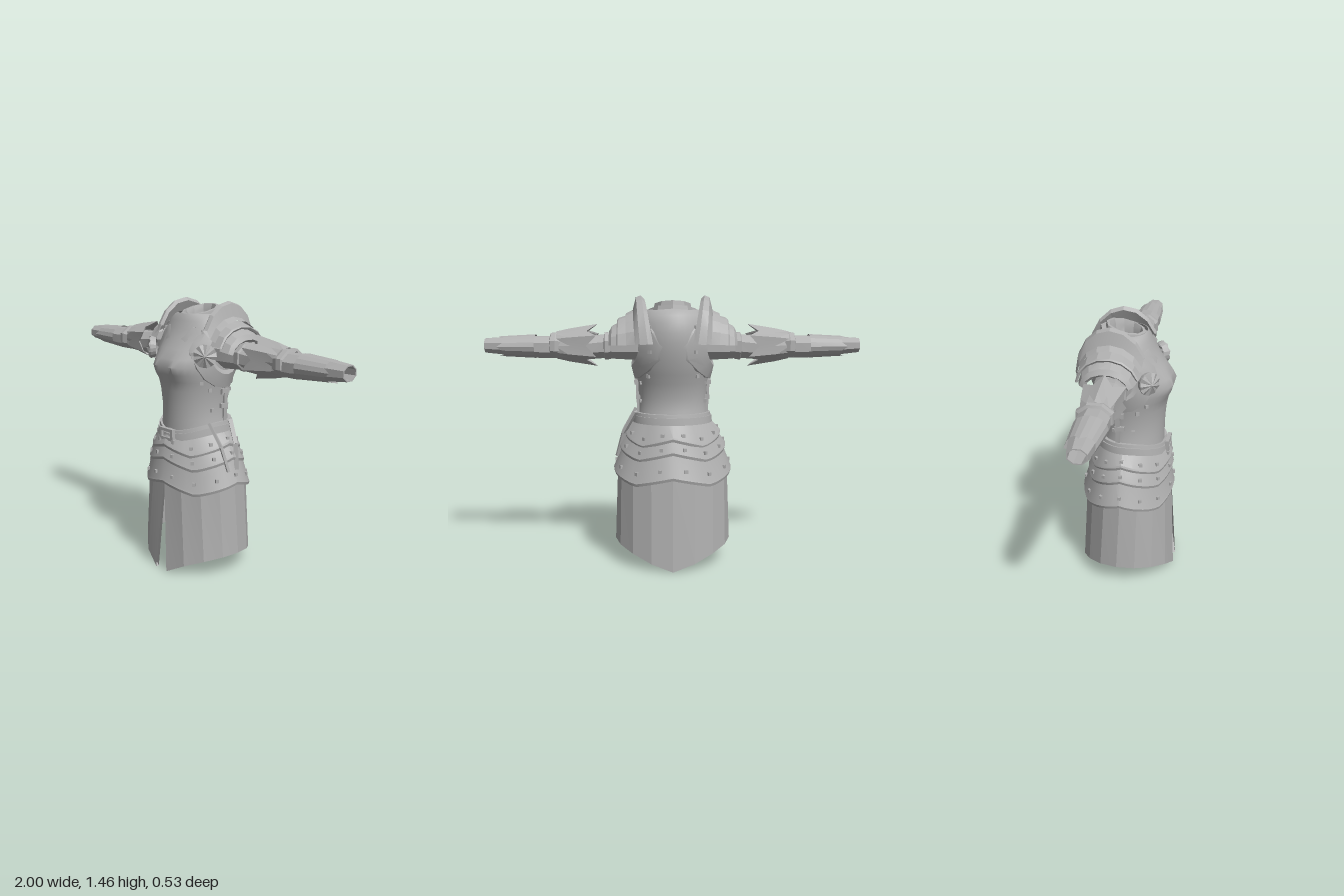
import * as THREE from 'three';
import { toCreasedNormals } from 'three/addons/utils/BufferGeometryUtils.js';

const steel = new THREE.MeshStandardMaterial({ color: 0xb0b0b0, side: THREE.DoubleSide });
steel.name = 'steel';
const TAU = Math.PI * 2;

// Skin a list of cross-sections; crease is the angle above which edges stay sharp
function loft(rows, closed = true, crease = 0.6) {
  const n = rows[0].length, pos = rows.flat(2), idx = [];
  for (let r = 0; r < rows.length - 1; r++) {
    for (let i = 0; i < (closed ? n : n - 1); i++) {
      const a = r * n + i, b = r * n + (i + 1) % n;
      idx.push(a, b, b + n, a, b + n, a + n);
    }
  }
  const g = new THREE.BufferGeometry();
  g.setAttribute('position', new THREE.Float32BufferAttribute(pos, 3));
  g.setIndex(idx);
  return toCreasedNormals(g, crease);
}
function add(group, name, geo) {
  const m = new THREE.Mesh(geo, steel);
  m.name = name;
  group.add(m);
  return m;
}
// Point on a body oval: half width a, front depth f, back depth b; t = 0 is the front
const oval = (t, y, a, f, b) => [a * Math.sin(t), y, Math.cos(t) * (Math.cos(t) > 0 ? f : b)];
const around = (n, fn) => Array.from({ length: n }, (_, i) => fn(i / n * TAU, i));

// Torso profile: y, half width, front depth, back depth
const TORSO = [
  [0.70, 0.215, 0.19, 0.17], [0.78, 0.198, 0.188, 0.16], [0.85, 0.187, 0.188, 0.142], [0.92, 0.184, 0.19, 0.14],
  [1.0, 0.193, 0.198, 0.16], [1.05, 0.203, 0.208, 0.178], [1.09, 0.21, 0.222, 0.19], [1.13, 0.213, 0.228, 0.2],
  [1.17, 0.213, 0.218, 0.208], [1.22, 0.211, 0.19, 0.214], [1.27, 0.206, 0.155, 0.214], [1.32, 0.193, 0.128, 0.206],
  [1.36, 0.17, 0.11, 0.19], [1.385, 0.14, 0.098, 0.155], [1.395, 0.11, 0.09, 0.125],
];
function torsoProfile(y) {
  let k = 0;
  while (k < TORSO.length - 2 && TORSO[k + 1][0] < y) k++;
  const A = TORSO[k], B = TORSO[k + 1], u = (y - A[0]) / (B[0] - A[0]);
  return [1, 2, 3].map(j => A[j] + (B[j] - A[j]) * u);
}
function torsoPoint(t, y) {
  const p = oval(t, y, ...torsoProfile(y));
  if (Math.cos(t) > 0) {
    p[2] += 0.022 * Math.exp(-(((Math.abs(p[0]) - 0.08) / 0.06) ** 2) - ((y - 1.125) / 0.05) ** 2);
  }
  return p;
}
// Torso half width at a given height and depth
function torsoSide(y, z) {
  const [a, f, b] = torsoProfile(y), k = Math.min(0.97, Math.abs(z) / (z > 0 ? f : b));
  return a * Math.sqrt(1 - k * k);
}
// Square stud seated on a point, facing outward
function stud(group, p) {
  const m = add(group, 'stud', new THREE.BoxGeometry(0.018, 0.018, 0.018));
  m.position.set(...p);
  m.rotation.y = Math.atan2(p[0], p[2]);
}
// Flat bar between two points
function bar(group, name, p, q, w, d) {
  const a = new THREE.Vector3(...p), b = new THREE.Vector3(...q);
  const m = add(group, name, new THREE.BoxGeometry(d, a.distanceTo(b), w));
  m.position.copy(a).add(b).multiplyScalar(0.5);
  m.quaternion.setFromUnitVectors(new THREE.Vector3(0, 1, 0), b.sub(a).normalize());
}
// Pointed hem: deepest on the four diagonals
function hemDip(t) {
  const s = Math.abs(Math.atan2(Math.sin(t), Math.cos(t))), f = Math.min(s, Math.PI - s);
  return f < 0.68 ? 0.25 + 0.75 * f / 0.68 : 1 - (f - 0.68) / 0.89;
}

// Hip lame with a thick lower edge and a row of studs
function hipPlate(group, name, top, bottom, dip, studs) {
  const [yt, ...T] = top, [yb, ...B] = bottom;
  const ring = (y, r, d, grow) => around(48, t => oval(t, y - d * hemDip(t), ...r.map(v => v + grow)));
  add(group, name, loft([ring(yt, T, dip * 0.3, 0), ring(yb + 0.01, B, dip, 0), ring(yb, B, dip, 0.004),
    ring(yb - 0.015, B, dip, 0), ring(yb - 0.012, B, dip, -0.018), ring(yt, T, dip * 0.3, -0.015)], true, 0.3));
  around(studs, (t) => {
    const tt = t + Math.PI / studs, u = 0.68;
    const r = T.map((v, i) => v + (B[i] - v) * u + 0.002);
    stud(group, oval(tt, yt + (yb - yt) * u - dip * 0.75 * hemDip(tt), ...r));
  });
}

function buildArm() {
  const g = new THREE.Group();
  // Side plate that hugs the torso around the armhole
  const hug = (r, lift) => around(16, (t) => {
    const y = Math.min(1.34, 1.2 + r * Math.sin(t)), z = -0.02 + r * Math.cos(t);
    return [torsoSide(y, z) + lift, y, z];
  });
  add(g, 'armholePlate', loft([hug(0.185, -0.01), hug(0.183, 0.01), hug(0.15, 0.012), hug(0.11, 0.014), hug(0.09, 0)], true, 0.5));
  // Eight-sided tube along x; rows are x, y, half height, z, half depth
  const tube = (name, rows) => add(g, name, loft(rows.map(([x, y, ry, z, rz]) =>
    around(8, t => [x, y + ry * Math.sin(t + Math.PI / 8), z + rz * Math.cos(t + Math.PI / 8)])), true, 0.25));
  tube('upperArm', [[0.17, 1.2, 0.085, -0.035, 0.1], [0.3, 1.197, 0.075, -0.035, 0.092], [0.35, 1.195, 0.067, -0.035, 0.082],
    [0.46, 1.185, 0.065, -0.04, 0.08], [0.62, 1.19, 0.06, -0.04, 0.075]]);
  tube('upperArmBand', [[0.33, 1.195, 0.074, -0.035, 0.088], [0.36, 1.195, 0.078, -0.035, 0.09], [0.365, 1.195, 0.066, -0.035, 0.08]]);
  tube('forearm', [[0.61, 1.19, 0.062, -0.04, 0.08], [0.7, 1.19, 0.062, -0.04, 0.082], [0.88, 1.196, 0.051, -0.036, 0.067],
    [1.0, 1.198, 0.04, -0.03, 0.05], [1.0, 1.198, 0.034, -0.03, 0.044], [0.9, 1.196, 0.04, -0.034, 0.054]]);
  tube('elbowCuff', [[0.59, 1.197, 0.066, -0.04, 0.084], [0.62, 1.2, 0.072, -0.042, 0.096], [0.645, 1.2, 0.07, -0.042, 0.092],
    [0.65, 1.197, 0.06, -0.04, 0.078]]);
  // Pointed wrist lame
  add(g, 'wristLame', loft([0, 1].map(k => around(16, (t, i) => {
    const x = k ? 0.9 + (i % 4 === 0 ? 0.03 : 0) : 0.73, s = k ? 0.87 : 1.05;
    return [x, 1.194 + 0.06 * s * Math.sin(t), -0.038 + 0.079 * s * Math.cos(t)];
  })), true, 0.2));
  // Flared elbow guard with broad leaf-shaped points
  const leaf = (x, r, tipX, tipR) => around(12, (t, i) => {
    const tip = i % 2 === 0, c = tip ? tipR : r;
    return [tip ? tipX : x, 1.2 + c * Math.sin(t + Math.PI / 6), -0.045 + c * 1.08 * Math.cos(t + Math.PI / 6)];
  });
  add(g, 'elbowGuard', loft([leaf(0.62, 0.07, 0.62, 0.072), leaf(0.54, 0.076, 0.55, 0.088),
    leaf(0.455, 0.088, 0.4, 0.112), leaf(0.46, 0.078, 0.41, 0.102), leaf(0.55, 0.066, 0.55, 0.078)], true, 0.15));

  // Shoulder lames arching over the arm, the innermost raised as a neck guard
  const arch = (x, ry, rz, from, pull = 0) => Array.from({ length: 8 }, (_, i) => {
    const t = from + (3.08 - from) * i / 7;
    return [x - pull * (i / 7) ** 2, 1.2 + ry * Math.sin(t), -0.06 + rz * Math.cos(t)];
  });
  const lame = (name, rows) => add(g, name, loft(rows.map(r => arch(...r)), false, 0.3));
  lame('neckGuard', [[0.19, 0.17, 0.165, 0.5, 0.02], [0.162, 0.245, 0.185, 0.5, 0.06], [0.178, 0.262, 0.194, 0.5, 0.05],
    [0.2, 0.252, 0.19, 0.5, 0.03], [0.215, 0.185, 0.178, 0.45, 0.02], [0.25, 0.168, 0.17, 0.4, 0.01]]);
  lame('shoulderLame', [[0.22, 0.165, 0.17, 0.3], [0.285, 0.145, 0.165, 0.3], [0.292, 0.138, 0.158, 0.3], [0.285, 0.128, 0.15, 0.3]]);
  lame('shoulderLame', [[0.27, 0.128, 0.15, 0.2], [0.32, 0.105, 0.135, 0.15], [0.335, 0.078, 0.115, 0.1], [0.325, 0.068, 0.1, 0.1]]);

  // Fluted round plate guarding the armpit
  const disc = (r, z, flute) => around(18, (t, i) => [r * Math.cos(t), r * Math.sin(t), z - (i % 2 ? flute : 0)]);
  const rondel = add(g, 'rondel', loft([disc(0.05, -0.03, 0), disc(0.06, -0.004, 0), disc(0.06, 0.008, 0.008),
    disc(0.014, 0.022, 0.003), disc(0.001, 0.026, 0)], true, 0.1));
  rondel.position.set(0.222, 1.2, 0.14);
  rondel.rotation.y = 0.75;

  // Side seam with buckles
  bar(g, 'sideSeam', [0.194, 1.02, -0.03], [0.184, 0.82, -0.03], 0.022, 0.014);
  for (const y of [0.92, 1.0]) {
    const m = add(g, 'sideBuckle', new THREE.BoxGeometry(0.024, 0.024, 0.05));
    m.position.set(0.187 + (y - 0.92) * 0.1, y, -0.02);
  }
  // Studs on breastplate and backplate
  for (const [t, y] of [[0.85, 1.31], [0.72, 1.2], [0.98, 1.05], [1.2, 1.01], [1.6, 0.99], [1.3, 0.9],
    [2.05, 1.0], [2.45, 1.04], [2.55, 1.17], [2.5, 1.3], [1.95, 0.9]]) stud(g, torsoPoint(t, y));
  return g;
}

export function createModel() {
  const model = new THREE.Group();
  model.name = 'plateArmour';

  add(model, 'cuirass', loft(TORSO.map(r => around(40, t => torsoPoint(t, r[0]))), true, 0.8));

  // Neck ring, lower at the front, with a closed bowl inside
  const neck = (r, y) => around(10, t => [r * Math.sin(t), y - r * Math.cos(t) * 0.25, -0.02 + r * Math.cos(t) * 1.02]);
  add(model, 'gorget', loft([neck(0.135, 1.36), neck(0.13, 1.382), neck(0.105, 1.385), neck(0.1, 1.412),
    neck(0.086, 1.414), neck(0.076, 1.385), neck(0.075, 1.34), neck(0.05, 1.3), neck(0.001, 1.285)], true, 0.5));

  const arm = buildArm();
  arm.name = 'leftArm';
  const other = arm.clone();
  other.name = 'rightArm';
  other.scale.x = -1;
  model.add(arm, other);

  // Waist band and belt, dipping at the front
  const band = (name, y, h, R, d) => {
    const ring = (dy, g) => around(40, t => oval(t, y + dy - 0.05 * Math.max(0, Math.cos(t)) ** 2, ...R.map(v => v + g)));
    add(model, name, loft([ring(h, -d), ring(h, 0), ring(0, 0.004), ring(0, -d)], true, 0.4));
  };
  band('waistBand', 0.815, 0.022, [0.204, 0.2, 0.168], 0.02);
  band('belt', 0.782, 0.038, [0.213, 0.21, 0.176], 0.025);
  const buckle = new THREE.Shape();
  buckle.moveTo(-0.055, -0.032).lineTo(0.055, -0.032).lineTo(0.055, 0.032).lineTo(-0.055, 0.032);
  const gap = new THREE.Path();
  gap.moveTo(-0.038, -0.016).lineTo(-0.038, 0.016).lineTo(0.038, 0.016).lineTo(0.038, -0.016);
  buckle.holes.push(gap);
  add(model, 'beltBuckle', new THREE.ExtrudeGeometry(buckle, { depth: 0.02, bevelEnabled: false })).position.set(0, 0.765, 0.202);

  // Three overlapping hip lames
  hipPlate(model, 'upperHipPlate', [0.8, 0.2, 0.19, 0.165], [0.73, 0.258, 0.232, 0.208], 0.06, 14);
  hipPlate(model, 'middleHipPlate', [0.725, 0.245, 0.218, 0.195], [0.66, 0.288, 0.238, 0.222], 0.062, 14);
  hipPlate(model, 'lowerHipPlate', [0.65, 0.276, 0.224, 0.21], [0.53, 0.32, 0.246, 0.252], 0.06, 14);

  // Faceted skirt, slit at the front, longest at centre front and back
  const hem = t => 0.002 + 0.12 * (Math.max(0, Math.abs(Math.sin(t)) - 0.149) / 0.851) ** 0.8;
  const skirtRow = (slit, a, f, b, y) => Array.from({ length: 17 }, (_, i) => {
    const t = slit + (TAU - 2 * slit) * i / 16;
    return oval(t, y ?? hem(t), a, f, b);
  });
  add(model, 'skirt', loft([skirtRow(0.001, 0.302, 0.235, 0.235, 0.53), skirtRow(0.14, 0.318, 0.266, 0.266),
    skirtRow(0.14, 0.302, 0.25, 0.25), skirtRow(0.001, 0.288, 0.222, 0.222, 0.53)], false, 0.2));

  // Weapon hanger on the left hip
  const hanger = new THREE.Group();
  hanger.name = 'hanger';
  for (const [z1, z2] of [[0.09, 0.045], [-0.06, -0.015]]) {
    const zm = (z1 + z2) / 2;
    bar(hanger, 'hangerStrap', [0.2, 0.84, z1], [0.268, 0.72, zm], 0.022, 0.014);
    bar(hanger, 'hangerStrap', [0.266, 0.725, zm], [0.302, 0.59, z2], 0.022, 0.014);
  }
  model.add(hanger);
  return model;
}
